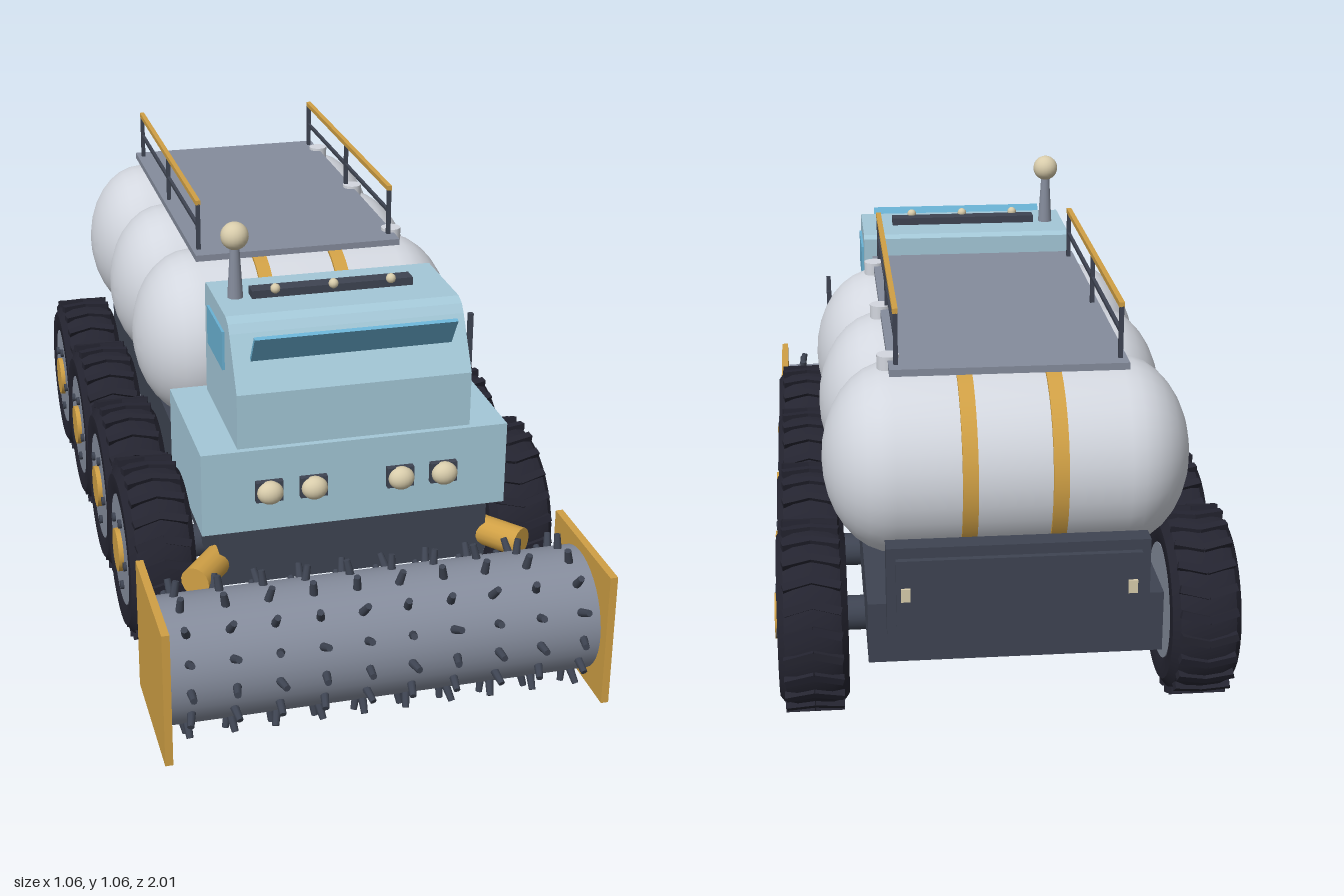
import * as THREE from 'three';
import { mergeGeometries, toCreasedNormals } from 'three/addons/utils/BufferGeometryUtils.js';

const mat = (name, color) => {
  const m = new THREE.MeshStandardMaterial({ color });
  m.name = name;
  return m;
};

export function createModel() {
  const root = new THREE.Group();
  root.name = 'rollerTanker';
  const paint = mat('pale blue paint', 0xa4c8d8);
  const white = mat('tank white', 0xd3d7df);
  const grey = mat('steel grey', 0x858c9c);
  const dark = mat('dark frame', 0x3e4452);
  const gold = mat('ochre', 0xd0a045);
  const rubber = mat('tyre rubber', 0x242430);
  const glass = mat('blue glass', 0x6ab2d4);
  const cream = mat('lamp cream', 0xd8ccab);

  const add = (name, geo, material, x = 0, y = 0, z = 0, parent = root) => {
    const m = new THREE.Mesh(geo, material);
    m.name = name;
    m.position.set(x, y, z);
    parent.add(m);
    return m;
  };
  // box given by its limits
  const box = (name, material, x0, x1, y0, y1, z0, z1) =>
    add(name, new THREE.BoxGeometry(x1 - x0, y1 - y0, z1 - z0), material,
      (x0 + x1) / 2, (y0 + y1) / 2, (z0 + z1) / 2);
  // cylinder lying along x
  const xCyl = (r, len, seg = 32) => new THREE.CylinderGeometry(r, r, len, seg).rotateZ(-Math.PI / 2);
  // lathe turned about the x axis; points are [radius, x] with x rising
  const xLathe = (pts, seg, crease) => toCreasedNormals(
    new THREE.LatheGeometry(pts.map(p => new THREE.Vector2(p[0], p[1])), seg).rotateZ(-Math.PI / 2), crease);

  // chassis and rear panel
  box('chassis', dark, -0.325, 0.325, 0.257, 0.398, -0.94, 0.655);
  box('rearPanel', dark, -0.285, 0.285, 0.345, 0.547, -0.982, -0.935);
  box('rearPanelPlate', dark, -0.265, 0.265, 0.37, 0.523, -0.996, -0.98);
  for (const s of [-1, 1])
    add('rearLamp', new THREE.BoxGeometry(0.02, 0.03, 0.008), cream, s * 0.245, 0.445, -0.998);

  // cab
  box('cabBase', paint, -0.366, 0.366, 0.397, 0.602, 0.28, 0.662);
  const profile = new THREE.Shape([[0.30, 0.6], [0.647, 0.6], [0.647, 0.735], [0.575, 0.855],
    [0.56, 0.874], [0.535, 0.884], [0.31, 0.884], [0.30, 0.874]].map(p => new THREE.Vector2(...p)));
  const cabGeo = new THREE.ExtrudeGeometry(profile, { depth: 0.556, bevelEnabled: false });
  add('cabUpper', cabGeo.translate(0, 0, -0.278).rotateY(-Math.PI / 2), paint);
  for (const s of [-1, 1])
    add('sideWindow', new THREE.BoxGeometry(0.008, 0.095, 0.172), glass, s * 0.28, 0.793, 0.435);
  const visor = add('windscreenVisor', new THREE.BoxGeometry(0.475, 0.08, 0.009), glass, 0, 0.838, 0.631);
  visor.rotation.x = 0.56;

  // headlights
  for (const x of [-0.209, -0.104, 0.104, 0.209]) {
    add('headlightMount', new THREE.BoxGeometry(0.064, 0.05, 0.02), dark, x, 0.5, 0.668);
    add('headlight', new THREE.SphereGeometry(0.031, 20, 14).scale(1, 0.9, 0.8), cream, x, 0.5, 0.68);
  }

  // roof light bar and beacon
  box('roofBar', dark, -0.195, 0.195, 0.882, 0.903, 0.405, 0.444);
  for (const x of [-0.14, 0, 0.14])
    add('roofLamp', new THREE.SphereGeometry(0.012, 12, 8), cream, x, 0.906, 0.445);
  add('beaconMast', new THREE.CylinderGeometry(0.011, 0.019, 0.13, 16), grey, -0.23, 0.945, 0.42);
  add('beaconBall', new THREE.SphereGeometry(0.033, 20, 14), cream, -0.23, 1.034, 0.42);

  // ladder on the left side
  for (const z of [0.35, 0.212]) box('ladderPost', dark, 0.371, 0.383, 0.397, 0.758, z - 0.006, z + 0.006);
  for (const y of [0.44, 0.52, 0.62]) box('ladderRung', dark, 0.372, 0.382, y - 0.005, y + 0.005, 0.212, 0.35);

  // tanks with domed ends, straps and filler caps
  const half = [];
  for (let i = 0; i <= 8; i++) {
    const a = (i / 8) * Math.PI / 2;
    half.push([0.215 * Math.cos(a), 0.255 + 0.159 * Math.sin(a)]);
  }
  half[8][0] = 0;
  const tankGeo = xLathe([...half.map(([r, x]) => [r, -x]).reverse(), ...half], 32, 0.9);
  for (const z of [0.04, -0.33, -0.70]) {
    add('tank', tankGeo, white, 0, 0.645, z);
    for (const x of [-0.098, 0.098]) add('tankStrap', xCyl(0.223, 0.034, 40), gold, x, 0.645, z);
    add('fillerCap', new THREE.CylinderGeometry(0.025, 0.025, 0.06, 16), white, 0.262, 0.857, z);
  }

  // walkway and railings
  box('walkway', grey, -0.263, 0.263, 0.864, 0.88, -0.787, 0.115);
  for (const s of [-1, 1]) {
    const x = s * 0.247;
    box('handrail', gold, x - 0.006, x + 0.006, 0.996, 1.008, -0.755, 0.072);
    box('midRail', dark, x - 0.004, x + 0.004, 0.937, 0.945, -0.75, 0.067);
    for (const z of [0.067, -0.34, -0.75]) box('railPost', dark, x - 0.005, x + 0.005, 0.878, 0.998, z - 0.005, z + 0.005);
  }

  // wheel parts, outer face towards +x
  const tyreGeo = xLathe([[0.13, -0.07], [0.15, -0.079], [0.185, -0.079], [0.205, -0.064], [0.213, -0.04],
    [0.213, 0.04], [0.205, 0.064], [0.185, 0.079], [0.15, 0.079], [0.13, 0.07]], 40, 0.6);
  const bars = [];
  for (let i = 0; i < 24; i++) for (const s of [-1, 1]) {
    const bar = new THREE.BoxGeometry(0.068, 0.018, 0.018);
    bar.rotateY(s * 0.25).translate(s * 0.032, 0.213, 0);
    bars.push(bar.rotateX((i / 24) * Math.PI * 2));
  }
  const treadGeo = mergeGeometries(bars);
  const rimGeo = xCyl(0.136, 0.15, 40);
  const hubGeo = xCyl(0.053, 0.02, 24);
  const bolts = [];
  for (let i = 0; i < 5; i++) {
    const a = (i / 5) * Math.PI * 2;
    bolts.push(xCyl(0.011, 0.012, 10).translate(0.077, Math.sin(a) * 0.088, -Math.cos(a) * 0.088));
  }
  const boltGeo = mergeGeometries(bolts);
  for (const z of [0.406, 0.059, -0.326, -0.674]) {
    add('axle', xCyl(0.04, 0.8, 16), dark, 0, 0.246, z);
    for (const s of [-1, 1]) {
      const wheel = new THREE.Group();
      wheel.name = 'wheel';
      wheel.position.set(s * 0.445, 0.246, z);
      if (s < 0) wheel.rotation.y = Math.PI;
      add('tyre', tyreGeo, rubber, 0, 0, 0, wheel);
      add('tread', treadGeo, rubber, 0, 0, 0, wheel);
      add('rim', rimGeo, grey, 0, 0, 0, wheel);
      add('hub', hubGeo, gold, 0.077, 0, 0, wheel);
      add('bolts', boltGeo, dark, 0, 0, 0, wheel);
      root.add(wheel);
    }
  }

  // spiked front roller with end plates and arms
  const ry = 0.186, rz = 0.825;
  add('roller', xCyl(0.146, 1.0, 40), grey, 0, ry, rz);
  const spikes = [];
  for (let c = 0; c < 10; c++) for (let i = 0; i < 14; i++) {
    const spike = new THREE.CylinderGeometry(0.008, 0.011, 0.05, 8);
    spike.rotateZ(0.22 * Math.sin(c * 2.3 + i * 1.7)).translate((c - 4.5) * 0.1015, 0.155, 0);
    spikes.push(spike.rotateX(Math.PI / 2 + (i / 14) * Math.PI * 2));
  }
  add('rollerSpikes', mergeGeometries(spikes), dark, 0, ry, rz);
  for (const s of [-1, 1]) {
    add('rollerEndPlate', new THREE.BoxGeometry(0.018, 0.332, 0.335), gold, s * 0.513, ry, rz);
    const a = new THREE.Vector3(s * 0.32, 0.31, 0.62), b = new THREE.Vector3(s * 0.395, 0.31, 0.715);
    const arm = add('rollerArm', new THREE.CylinderGeometry(0.036, 0.036, a.distanceTo(b), 16), gold);
    arm.position.copy(a).lerp(b, 0.5);
    arm.quaternion.setFromUnitVectors(new THREE.Vector3(0, 1, 0), b.sub(a).normalize());
  }
  return root;
}
